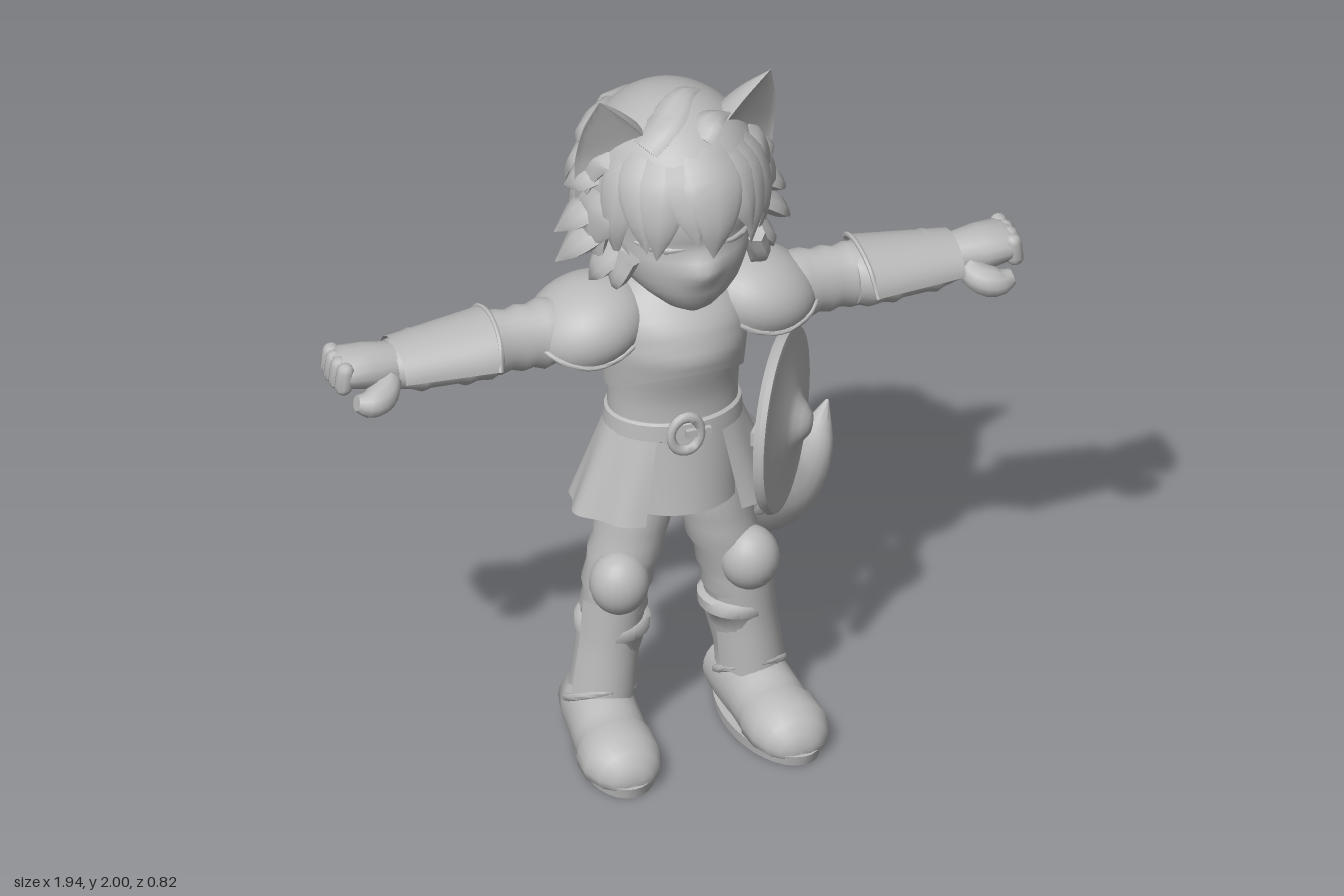
import * as THREE from 'three';
import { toCreasedNormals } from 'three/addons/utils/BufferGeometryUtils.js';

const V = (x, y, z) => new THREE.Vector3(x, y, z);
const TAU = Math.PI * 2;
const lerp = THREE.MathUtils.lerp;

// grid of points P(i, j); wrap closes the rows, caps closes both ends
function grid(P, nu, nv, wrap = false, caps = false) {
  const pos = [], idx = [], w = wrap ? nu : nu + 1;
  for (let j = 0; j <= nv; j++) for (let i = 0; i < w; i++) pos.push(...P(i, j).toArray());
  for (let j = 0; j < nv; j++) for (let i = 0; i < nu; i++) {
    const a = j * w + i, b = j * w + (i + 1) % w;
    idx.push(a, b, b + w, a, b + w, a + w);
  }
  if (caps) for (const j of [0, nv]) {
    const c = V(0, 0, 0), k = pos.length / 3;
    for (let i = 0; i < nu; i++) c.add(P(i, j));
    pos.push(...c.divideScalar(nu).toArray());
    for (let i = 0; i < nu; i++) {
      const a = j * w + i, b = j * w + (i + 1) % nu;
      idx.push(...(j ? [k, a, b] : [k, b, a]));
    }
  }
  const g = new THREE.BufferGeometry();
  g.setAttribute('position', new THREE.Float32BufferAttribute(pos, 3));
  g.setIndex(idx);
  return g;
}
const sheet = (fn, nu, nv) => grid((i, j) => fn(i / nu, j / nv), nu, nv);

// stacked ellipses along an axis; rows are [position, centre1, centre2, radius1, radius2]
function loft(axis, rows, n = 24) {
  return grid((i, j) => {
    const [p, c, d, r, s] = rows[j], a = i / n * TAU, C = Math.cos(a), S = Math.sin(a);
    if (axis === 'y') return V(c + r * S, p, d + s * C);
    if (axis === 'x') return V(p, c + r * C, d + s * S);
    return V(c + r * C, d + s * S, p);
  }, n, rows.length - 1, true, true);
}

// tapered tube through points, flattened along the out direction
function sweep(pts, radii, out, flat = 1, steps = 12, n = 12, hollow = 0) {
  const path = new THREE.CatmullRomCurve3(pts);
  const rad = new THREE.CatmullRomCurve3(radii.map((r, i) => V(r, i, 0)));
  return grid((i, j) => {
    const t = j / steps, T = path.getTangent(t), a = i / n * TAU;
    const O = out.clone().addScaledVector(T, -out.dot(T)).normalize();
    const S = O.clone().cross(T), r = Math.max(rad.getPoint(t).x, 0.002);
    let s = Math.sin(a);
    if (hollow && s > 0) s *= -hollow;
    return path.getPoint(t).addScaledVector(S, r * Math.cos(a)).addScaledVector(O, r * flat * s);
  }, n, steps, true, true);
}

export function createModel() {
  const model = new THREE.Group();
  model.name = 'foxKnight';
  const grey = new THREE.MeshStandardMaterial({ color: 0xbababa, side: THREE.DoubleSide });
  grey.name = 'clayGrey';
  const add = (name, g, crease = 0.9) => {
    const m = new THREE.Mesh(toCreasedNormals(g, crease), grey);
    m.name = name;
    model.add(m);
  };
  const pair = (name, g, crease) => {
    const k = g.clone().scale(-1, 1, 1), ix = k.index.array;
    for (let i = 0; i < ix.length; i += 3) [ix[i], ix[i + 1]] = [ix[i + 1], ix[i]];
    add(name + 'Left', g, crease);
    add(name + 'Right', k, crease);
  };

  // torso and armour
  const body = [[.7, 0, .06, .14, .09], [.75, 0, .06, .17, .12], [.9, 0, .06, .18, .135], [.98, 0, .06, .172, .13],
    [1.05, 0, .06, .172, .13], [1.12, 0, .065, .178, .145], [1.2, 0, .07, .185, .16], [1.28, 0, .06, .19, .15],
    [1.34, 0, .05, .17, .115], [1.39, 0, .04, .1, .08]];
  add('torso', loft('y', body, 32));
  const bodyPoint = (a, y, k) => {
    let i = 0;
    while (i < body.length - 2 && body[i + 1][0] < y) i++;
    const t = (y - body[i][0]) / (body[i + 1][0] - body[i][0]);
    const [, , c, r, s] = body[i].map((v, n) => lerp(v, body[i + 1][n], t));
    return V(k * r * Math.sin(a), y, c + k * s * Math.cos(a));
  };
  add('breastplate', sheet((u, v) => {
    const a = u * TAU, ridge = .03 * Math.max(0, Math.cos(a)) ** 8;
    return bodyPoint(a, lerp(1.375, 1.07 + .085 * Math.abs(Math.cos(a)) ** 1.5, v), lerp(1.03, 1.09, v) + ridge);
  }, 48, 10));
  add('bellyPlate', sheet((u, v) => bodyPoint(u * TAU, lerp(1.18, .99, v), 1.03), 40, 5));
  add('neck', loft('y', [[1.3, 0, .04, .09, .08], [1.38, 0, .05, .08, .075], [1.46, 0, .07, .075, .075]]));
  add('belt', loft('y', [[.935, 0, .06, .183, .14], [.94, 0, .06, .19, .148], [.985, 0, .06, .186, .145], [.99, 0, .06, .178, .138]], 32), .5);
  add('buckle', new THREE.TorusGeometry(.042, .013, 8, 20).scale(1, 1.2, 1).translate(-.02, .965, .215));
  add('buckleTongue', new THREE.BoxGeometry(.07, .02, .015).translate(.015, .965, .215));

  // skirt: one wrap open at the front, with an apron behind the opening
  add('skirt', sheet((u, v) => {
    const a = lerp(.5, TAU - .5, u), f = 1 + .035 * v * Math.cos(a * 9);
    return V(lerp(.183, .283, v) * f * Math.sin(a), lerp(.96, .705, v), .06 + lerp(.142, .185, v) * f * Math.cos(a));
  }, 72, 8));
  add('apron', sheet((u, v) => {
    const a = lerp(-.9, .9, u);
    return V(lerp(.18, .175, v) * Math.sin(a), lerp(.96, .72, v), .06 + lerp(.138, .165, v) * Math.cos(a));
  }, 16, 6));

  // legs, boots and knee guards
  pair('trouserLeg', loft('y', [[.33, .175, .065, .082, .095], [.38, .172, .07, .083, .092], [.4, .17, .07, .09, .1],
    [.44, .165, .07, .084, .092], [.47, .16, .07, .094, .1], [.52, .15, .07, .09, .096], [.56, .137, .07, .1, .104],
    [.6, .126, .068, .094, .1], [.64, .117, .066, .1, .104], [.69, .106, .065, .098, .105], [.78, .1, .06, .095, .105]]));
  pair('bootShaft', loft('y', [[.06, .208, .045, .085, .092], [.14, .205, .047, .077, .085], [.2, .197, .058, .077, .09],
    [.28, .183, .065, .085, .1], [.325, .176, .067, .09, .104], [.33, .174, .067, .1, .108], [.36, .172, .067, .1, .108], [.37, .172, .067, .088, .1]]));
  const foot = loft('z', [[-.045, .2, .07, .05, .05], [-.03, .203, .075, .085, .085], [.04, .21, .08, .095, .1], [.12, .217, .075, .097, .11],
    [.2, .225, .06, .1, .1], [.235, .228, .055, .103, .092], [.25, .23, .055, .11, .095], [.32, .235, .05, .108, .088], [.37, .235, .045, .085, .07],
    [.395, .235, .04, .055, .045], [.405, .235, .04, .03, .02]]);
  const fp = foot.attributes.position;
  for (let i = 0; i < fp.count; i++) fp.setY(i, Math.max(fp.getY(i), .02));
  pair('foot', foot, 1.0);
  pair('sole', grid((i, j) => {
    const a = i / 32 * TAU, z = Math.cos(a), k = j === 0 ? .97 : 1;
    return V(.213 + .025 * z + Math.sin(a) * k * (.103 + .014 * z), j ? .03 : 0, .18 + z * .238 * k);
  }, 32, 1, true, true), .5);
  pair('bootStrap', new THREE.TorusGeometry(.094, .011, 8, 24).scale(.95, 1.1, 1).rotateX(1.05).translate(.21, .13, .075));
  pair('shinGuard', sheet((u, v) => {
    const a = lerp(-1.25, 1.25, u), k = 1 + .12 * Math.abs(v - .45);
    return V(lerp(.176, .208, v) + .09 * k * Math.sin(a), lerp(.44, .17 - .03 * Math.cos(a), v), .065 + .106 * k * Math.cos(a));
  }, 14, 8));
  pair('kneeGuard', new THREE.SphereGeometry(1, 20, 14).scale(.08, .09, .078).translate(.183, .505, .15));

  // arms
  pair('sleeve', loft('x', [[.16, 1.27, .05, .08, .08], [.34, 1.26, .05, .09, .085], [.37, 1.255, .05, .098, .085], [.4, 1.255, .05, .088, .073],
    [.43, 1.255, .05, .094, .077], [.46, 1.255, .05, .085, .068], [.49, 1.255, .05, .092, .077], [.54, 1.255, .05, .085, .08]]));
  pair('bracer', loft('x', [[.5, 1.255, .055, .078, .085], [.53, 1.255, .055, .087, .105], [.57, 1.255, .055, .082, .1], [.6, 1.255, .055, .089, .108],
    [.62, 1.255, .055, .08, .1], [.7, 1.25, .05, .076, .095], [.72, 1.25, .05, .081, .1], [.74, 1.25, .05, .072, .09], [.79, 1.25, .05, .062, .075]]));
  pair('bracerPlate', sheet((u, v) => {
    const a = lerp(-1.6, 1.6, u), x = lerp(.53 - .015 * Math.cos(a), .785, v);
    return V(x, lerp(1.252, 1.247, v) + lerp(.102, .076, v) * Math.cos(a), .06 + lerp(.13, .1, v) * Math.sin(a));
  }, 20, 5));
  pair('bracerRim', sweep([-1.6, -.8, 0, .8, 1.6].map(a => V(.53 - .015 * Math.cos(a), 1.252 + .102 * Math.cos(a), .06 + .13 * Math.sin(a))),
    [.007, .007, .007, .007, .007], V(1, 0, 0), 1, 20, 6));
  pair('palm', loft('x', [[.77, 1.255, .055, .055, .062], [.81, 1.26, .055, .058, .066], [.86, 1.264, .055, .06, .076], [.92, 1.272, .055, .05, .08], [.95, 1.272, .055, .038, .072]], 16));
  for (let i = 0; i < 4; i++)
    pair('finger' + (i + 1), new THREE.CapsuleGeometry(.024, .045, 4, 10).rotateZ(.12).translate(.945 - .004 * Math.abs(i - 1.5), 1.27, .001 + i * .036));
  pair('thumb', sweep([V(.81, 1.24, .1), V(.84, 1.215, .135), V(.88, 1.205, .15), V(.92, 1.215, .15)], [.035, .042, .04, .022], V(0, 1, 0), 1, 8, 10));

  // shoulder guards: sloping shells that hang lower at front and back, with a rim
  const shell = (a, v) => {
    const t = v * Math.PI * (.45 + .22 * Math.cos(a) ** 2), x = .165 * Math.sin(t) * Math.sin(a);
    return V(.237 + x, 1.265 + .122 * Math.cos(t) - .14 * x, .045 + .158 * Math.sin(t) * Math.cos(a));
  };
  pair('shoulderGuard', sheet((u, v) => shell(u * TAU, v), 32, 12));
  pair('shoulderRim', grid((i, j) => {
    const b = i / 8 * TAU, a = j / 40 * TAU;
    return shell(a, 1).add(V(Math.sin(a) * .008 * Math.cos(b), .009 * Math.sin(b), Math.cos(a) * .008 * Math.cos(b)));
  }, 8, 40, true));

  // round shield on the left hip
  const hang = g => g.rotateX(Math.PI / 2).rotateY(.97).translate(.278, .907, .145);
  const shieldProfile = [[0, -.015], [.22, -.02], [.245, -.02], [.256, -.005], [.25, .01], [.232, .013], [.222, .012], [.15, .026],
    [.095, .034], [.07, .043], [.05, .06], [.03, .075], [0, .082]];
  add('shield', hang(new THREE.LatheGeometry(shieldProfile.map(p => new THREE.Vector2(...p)), 40)), .7);
  add('shieldGrip', hang(new THREE.BoxGeometry(.24, .025, .04).translate(0, -.045, 0)), .3);

  // tail, thick in the middle with a curled tip and a few fur tufts
  add('tail', sweep([V(.02, .93, -.05), V(.07, .835, -.15), V(.17, .66, -.215), V(.28, .51, -.25), V(.41, .455, -.27), V(.52, .5, -.315), V(.59, .61, -.36)],
    [.045, .105, .146, .155, .125, .07, .004], V(0, 0, 1), 1, 28, 20));
  for (let i = 0; i < 9; i++) {
    const o = V(.62 * Math.sin(i / 9 * TAU), .78 * Math.sin(i / 9 * TAU), Math.cos(i / 9 * TAU));
    const p = V(.27, .52, -.25).addScaledVector(o, .137);
    add('tailTuft' + (i + 1), sweep([p, p.clone().add(V(.05, -.03, 0)).addScaledVector(o, .006), p.clone().add(V(.1, -.045, -.01)).addScaledVector(o, -.002)],
      [.045, .035, .002], o, .3, 6, 8));
  }

  // face, with a short muzzle drawn forward
  const head = loft('y', [[1.355, 0, .2, .03, .035], [1.375, 0, .175, .075, .085], [1.41, 0, .145, .12, .14], [1.44, 0, .13, .15, .165], [1.47, 0, .115, .168, .185],
    [1.495, 0, .105, .18, .198], [1.52, 0, .1, .188, .204], [1.545, 0, .095, .194, .204], [1.57, 0, .09, .197, .2], [1.6, 0, .08, .2, .215],
    [1.66, 0, .07, .205, .24], [1.78, 0, .06, .18, .2]], 48);
  const hp = head.attributes.position;
  for (let i = 0; i < hp.count; i++) if (hp.getZ(i) > .15)
    hp.setZ(i, hp.getZ(i) + .03 * Math.exp(-((hp.getX(i) / .05) ** 2) - ((hp.getY(i) - 1.515) / .04) ** 2));
  add('head', head, 1.2);
  pair('eyelid', sweep([V(.05, 1.582, .285), V(.09, 1.577, .272), V(.135, 1.582, .245), V(.165, 1.59, .215)], [.003, .009, .009, .003], V(0, 0, 1), .6, 10, 8));

  // hair cap, lower at the back than over the face
  const scalp = (az, el, k = 1) => V(.235 * k * Math.cos(el) * Math.sin(az), 1.66 + .26 * k * Math.sin(el), .058 + .278 * k * Math.cos(el) * Math.cos(az));
  add('hairCap', sheet((u, v) => {
    const az = u * TAU, low = lerp(-.75, .12, THREE.MathUtils.smoothstep(Math.cos(az), -.1, .8));
    return scalp(az, lerp(Math.PI / 2, low, v), 1.03);
  }, 48, 16));
  let count = 0;
  const lock = (az, e0, e1, k, w, twist = 0) => {
    const pts = [0, .35, .7, 1].map(t => scalp(az + twist * t * t, lerp(e0, e1, t), lerp(.93, k, t * t) + .03 * Math.sin(Math.PI * t)));
    const out = scalp(az, (e0 + e1) / 2).sub(V(0, 1.66, .058)).normalize();
    add('hairLock' + (++count), sweep(pts, [w * .8, w, w * .6, .002], out, .36, 10, 8));
  };
  // layered side and back locks whose tips lift off the cap, flaring wider at the sides
  [[.6, .1, 1.1, 6, .1], [.25, -.32, 1.16, 9, .09], [-.05, -.65, 1.18, 9, .08], [-.35, -1, 1.2, 8, .065]].forEach(([e0, e1, k, n, w], r) => {
    for (let i = 0; i < n; i++) {
      const az = lerp(1.15, TAU - 1.15, (i + (r % 2 ? .6 : .3)) / n), s = Math.sin(i * 5 + r * 2);
      lock(az, e0 + .1 * s, e1 + .1 * s, k + .03 * s + (r ? .1 * Math.sin(az) ** 2 : 0), w, .25 * Math.sin(i * 3 + r));
    }
  });
  // fringe
  [[-1.05, -.5, .065], [-.8, -.25, .075], [-.52, -.32, .075], [-.25, -.12, .07], [.1, -.3, .095], [.42, -.15, .07], [.65, -.32, .075], [.9, -.3, .07], [1.1, -.55, .065]]
    .forEach(([az, tip, w], i) => lock(az, .85, tip, 1.08, w, i % 2 ? .12 : -.06));
  // spiky cheek locks, each a tip position with a root height
  [[.29, 1.68, .02, 1.76], [.325, 1.555, .04, 1.68], [.33, 1.475, .06, 1.62], [.25, 1.425, .1, 1.56], [.19, 1.41, .14, 1.55]].forEach(([x, y, z, root], i) =>
    pair('cheekLock' + (i + 1), sweep([V(.17, root, z + .05), V(lerp(.2, x, .55), lerp(root, y, .5), z + .03), V(x, y, z)], [.06, .055, .002], V(.8, .6, 0), .5, 10, 8)));
  add('crownTuft', sweep([V(-.12, 1.84, .17), V(-.05, 1.9, .15), V(.01, 1.945, .11), V(.07, 1.94, .09)], [.06, .055, .035, .002], V(0, 1, 0), .5, 10, 8));
  add('crownTuftSmall', sweep([V(.02, 1.86, .2), V(.06, 1.895, .18), V(.13, 1.89, .15)], [.05, .045, .002], V(0, 1, 0), .5, 10, 8));

  // pointed ears, hollow towards the front
  pair('ear', sweep([V(.165, 1.67, .11), V(.182, 1.8, .118), V(.21, 1.9, .135), V(.24, 2, .155)], [.12, .108, .068, .002], V(.4, 0, .9), .95, 14, 20, .08));
  return model;
}
